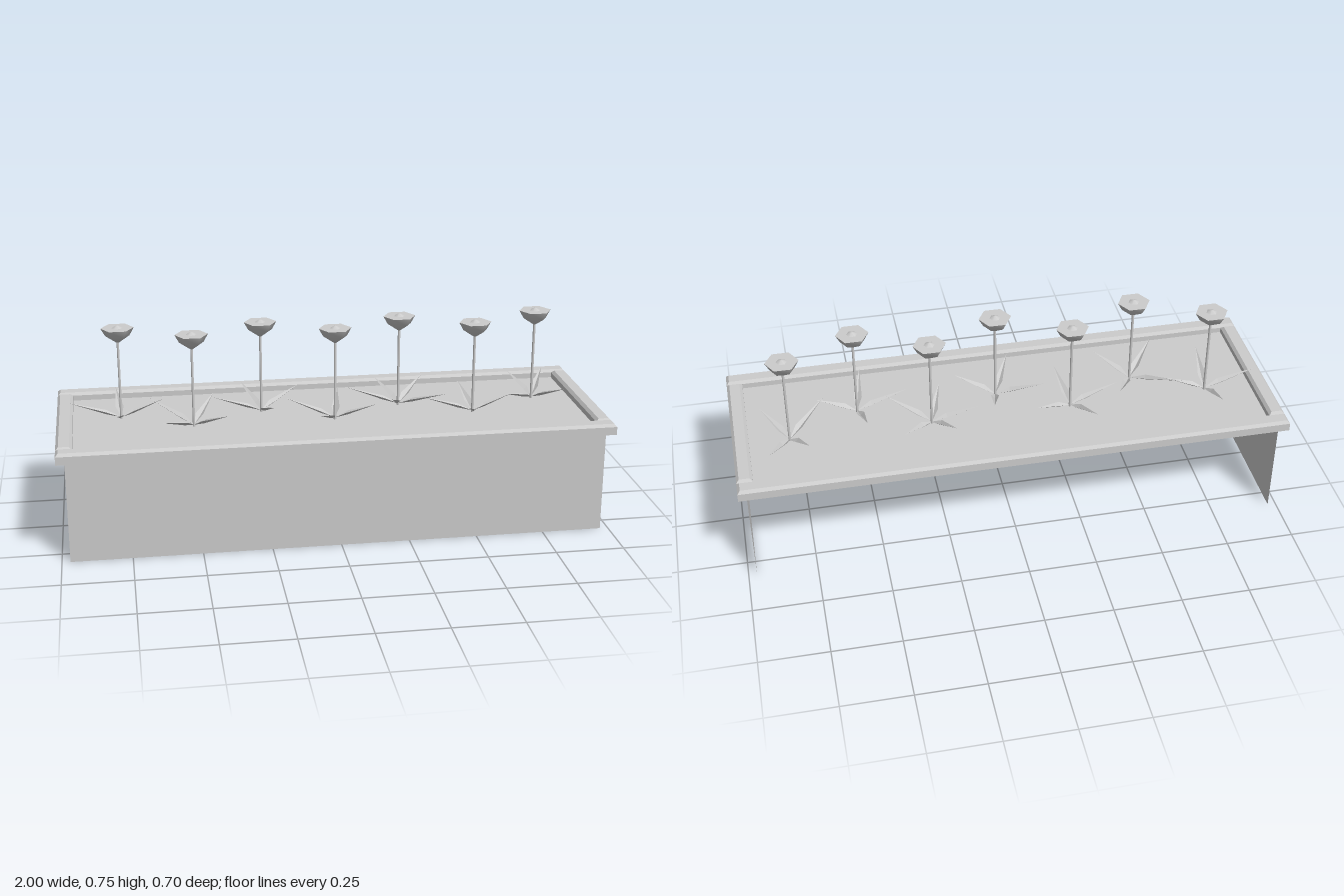
import * as THREE from 'three';

const grey = new THREE.MeshStandardMaterial({ color: 0xcccccc, side: THREE.DoubleSide });
grey.name = 'plain grey';

const SOIL_Y = 0.39;

function add(parent, name, geometry, x = 0, y = 0, z = 0) {
  const mesh = new THREE.Mesh(geometry, grey);
  mesh.name = name;
  mesh.position.set(x, y, z);
  parent.add(mesh);
  return mesh;
}

// Rail with chamfered upper edges
function rail(w, h, d, c = 0.01) {
  const box = new THREE.BoxGeometry(w, h, d, 1, 2, 1);
  const p = box.attributes.position;
  for (let i = 0; i < p.count; i++) {
    const y = p.getY(i);
    if (Math.abs(y) < 1e-6) p.setY(i, h / 2 - c);
    else if (y > 0) {
      p.setX(i, p.getX(i) - Math.sign(p.getX(i)) * c);
      p.setZ(i, p.getZ(i) - Math.sign(p.getZ(i)) * c);
    }
  }
  const flat = box.toNonIndexed();
  flat.computeVertexNormals();
  return flat;
}

// Pointed leaf creased along its middle, from the origin to (dx, rise, dz)
function leaf(dx, dz, rise) {
  const length = Math.hypot(dx, dz);
  const sx = -dz / length, sz = dx / length;
  const at = (t, side, lift) => [dx * t + sx * side, rise * t + lift, dz * t + sz * side];
  const root = at(0, 0, 0), tip = at(1, 0, 0), keel = at(0.3, 0, -0.004);
  const left = at(0.28, 0.015, 0.008), right = at(0.28, -0.015, 0.008);
  const faces = [root, left, keel, left, tip, keel, root, keel, right, keel, tip, right];
  const g = new THREE.BufferGeometry();
  g.setAttribute('position', new THREE.Float32BufferAttribute(faces.flat(), 3));
  g.computeVertexNormals();
  return g;
}

// Six-sided turned shape with corners pointing along x
function hexLathe(points) {
  return new THREE.LatheGeometry(
    points.map(([r, y]) => new THREE.Vector2(r, y)), 6, Math.PI / 2);
}

// Leaf tips of each plant, as x and z offsets from its stem
const LEAF_TIPS = [
  [[-0.19, 0], [-0.016, -0.166], [0.155, 0.005], [-0.016, 0.176]],
  [[-0.16, -0.144], [0.086, -0.166], [-0.118, 0.144], [0.118, 0.107]],
  [[-0.18, 0.016], [-0.064, -0.16], [0.144, -0.08], [0.027, 0.166]],
  [[-0.176, -0.059], [0.032, -0.155], [0.144, 0.059], [-0.075, 0.155]],
  [[-0.19, -0.021], [-0.07, -0.139], [0.118, -0.139], [0.16, 0.107], [-0.05, 0.139]],
  [[-0.19, 0.01], [-0.021, -0.166], [0.15, 0.01], [-0.032, 0.171]],
  [[-0.139, 0.139], [-0.064, -0.134], [0.086, -0.166], [0.096, 0.118]],
];

function plant(tips) {
  const g = new THREE.Group();
  g.name = 'flower';
  add(g, 'stem', new THREE.CylinderGeometry(0.005, 0.005, 0.32, 6), 0, 0.53, 0);
  add(g, 'bloom', hexLathe([[0, 0.684], [0.007, 0.686], [0.044, 0.711], [0.06, 0.74]]));
  add(g, 'bloomFace', new THREE.CircleGeometry(0.06, 6).rotateX(-Math.PI / 2), 0, 0.74, 0);
  add(g, 'bloomCentre', hexLathe([[0.02, 0.74], [0.006, 0.748], [0, 0.749]]));
  for (const [dx, dz] of tips) add(g, 'leaf', leaf(dx, dz, 0.065), 0, SOIL_Y + 0.006, 0);
  return g;
}

export function createModel() {
  const model = new THREE.Group();
  model.name = 'windowPlanter';

  // Thin box walls, open at the back and underneath
  add(model, 'frontWall', new THREE.PlaneGeometry(1.94, 0.39), 0, 0.195, 0.32);
  for (const s of [-1, 1]) {
    add(model, 'endWall', new THREE.PlaneGeometry(0.64, 0.39).rotateY(s * Math.PI / 2), s * 0.97, 0.195, 0);
  }
  add(model, 'soil', new THREE.PlaneGeometry(1.94, 0.64).rotateX(-Math.PI / 2), 0, SOIL_Y, 0);

  // Rim rails
  for (const s of [-1, 1]) {
    add(model, 'longRail', rail(2, 0.04, 0.06), 0, 0.4, s * 0.32);
    add(model, 'endRail', rail(0.058, 0.04, 0.58), s * 0.971, 0.4, 0);
  }

  // Staggered row of flowers
  LEAF_TIPS.forEach((tips, i) => {
    const flower = plant(tips);
    flower.position.set(-0.765 + i * 0.26, 0, i % 2 ? 0.06 : -0.06);
    model.add(flower);
  });
  return model;
}
